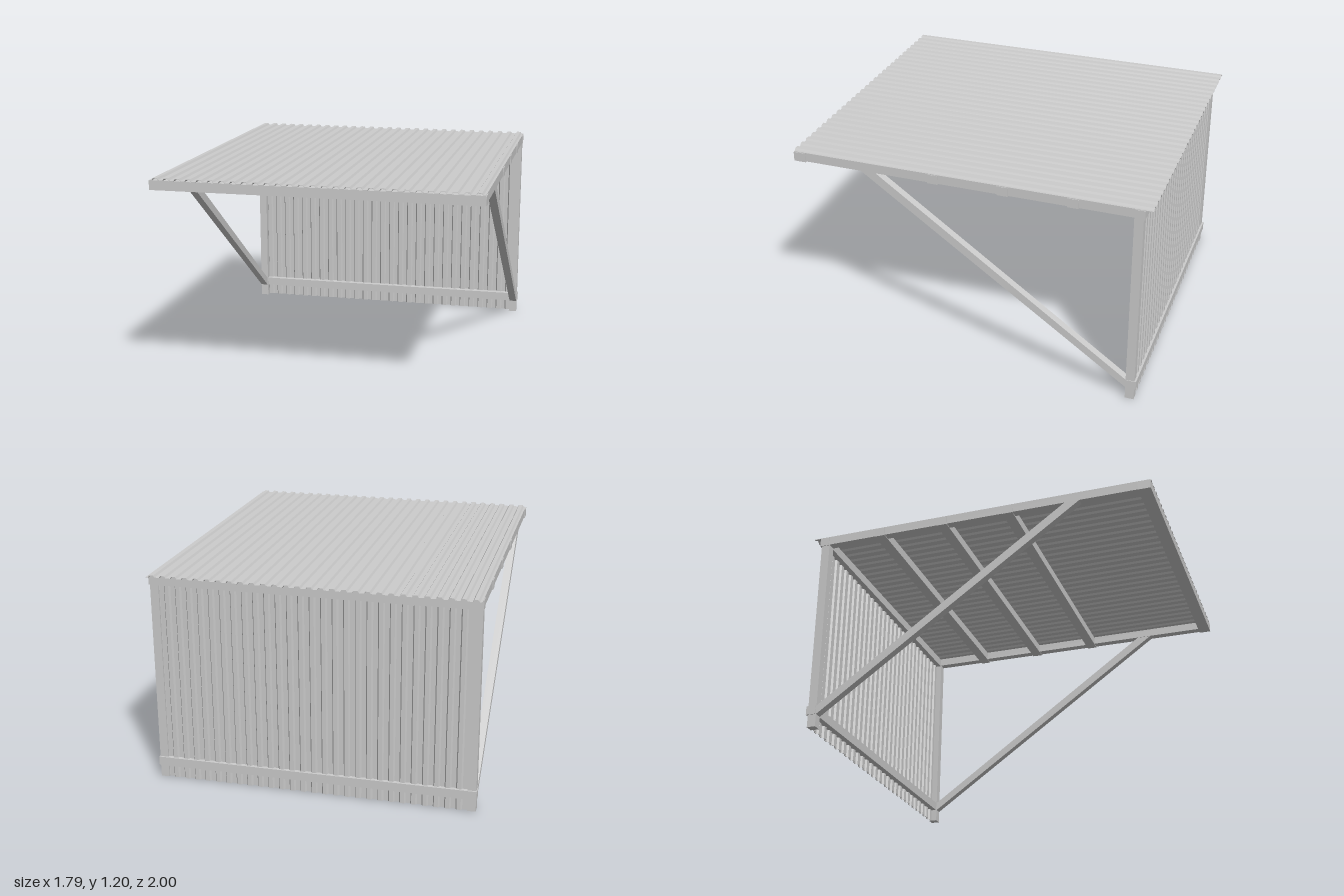
import * as THREE from 'three';

const material = new THREE.MeshStandardMaterial({ color: 0xcccccc, flatShading: true, side: THREE.DoubleSide });

function add(group, name, geometry) {
  const mesh = new THREE.Mesh(geometry, material);
  mesh.name = name;
  group.add(mesh);
  return mesh;
}

// Box given by its lower and upper limits
function beam(group, name, [x0, x1], [y0, y1], [z0, z1]) {
  const geometry = new THREE.BoxGeometry(x1 - x0, y1 - y0, z1 - z0);
  geometry.translate((x0 + x1) / 2, (y0 + y1) / 2, (z0 + z1) / 2);
  return add(group, name, geometry);
}

// Thin trapezoid-ribbed sheet: ribs rise in +y and run along z
function corrugatedSheet(halfWidth, length, ribs = 29, pitch = 0.0614, rise = 0.011, thickness = 0.003) {
  const top = [[-halfWidth, 0]];
  for (let i = 0; i < ribs; i++) {
    const x = (i - (ribs - 1) / 2) * pitch;
    top.push([x - 0.018, 0], [x - 0.011, rise], [x + 0.011, rise], [x + 0.018, 0]);
  }
  top.push([halfWidth, 0]);
  const under = top.map(([x, y]) => [x, y - thickness]).reverse();
  const shape = new THREE.Shape([...top, ...under].map(([x, y]) => new THREE.Vector2(x, y)));
  return new THREE.ExtrudeGeometry(shape, { depth: length, bevelEnabled: false });
}

export function createModel() {
  const model = new THREE.Group();
  model.name = 'leanToShelter';

  // Ribbed roof and back wall
  add(model, 'roofSheet', corrugatedSheet(0.89, 1.995).translate(0, 1.186, -0.995));
  add(model, 'backWallSheet', corrugatedSheet(0.885, 1.184).rotateX(-Math.PI / 2).translate(0, 0, -0.935));

  // Side frames: post, roof beam and diagonal brace
  for (const side of [-1, 1]) {
    const frame = new THREE.Group();
    frame.name = side > 0 ? 'leftFrame' : 'rightFrame';
    const xs = side > 0 ? [0.843, 0.89] : [-0.89, -0.843];
    beam(frame, 'post', xs, [0, 1.14], [-0.947, -0.898]);
    beam(frame, 'sideBeam', xs, [1.135, 1.184], [-0.95, 0.998]);

    const outline = new THREE.Shape([
      new THREE.Vector2(0.605, 1.136), new THREE.Vector2(0.52, 1.136),
      new THREE.Vector2(-0.9, 0.12), new THREE.Vector2(-0.9, 0.07),
    ]);
    const brace = new THREE.ExtrudeGeometry(outline, { depth: 0.044, bevelEnabled: false });
    brace.rotateY(-Math.PI / 2).translate(side * 0.868 + 0.022, 0, 0);
    add(frame, 'brace', brace);
    model.add(frame);
  }

  // Cross beams under the roof
  for (const z of [-0.58, -0.2, 0.19]) {
    beam(model, 'purlin', [-0.894, 0.894], [1.131, 1.182], [z - 0.03, z + 0.03]);
  }
  beam(model, 'frontBeam', [-0.894, 0.894], [1.131, 1.183], [0.93, 1]);
  beam(model, 'rearTopBeam', [-0.894, 0.894], [1.131, 1.183], [-0.955, -0.902]);

  // Low rail carrying the wall
  beam(model, 'bottomRail', [-0.894, 0.894], [0.072, 0.122], [-0.957, -0.902]);
  return model;
}
